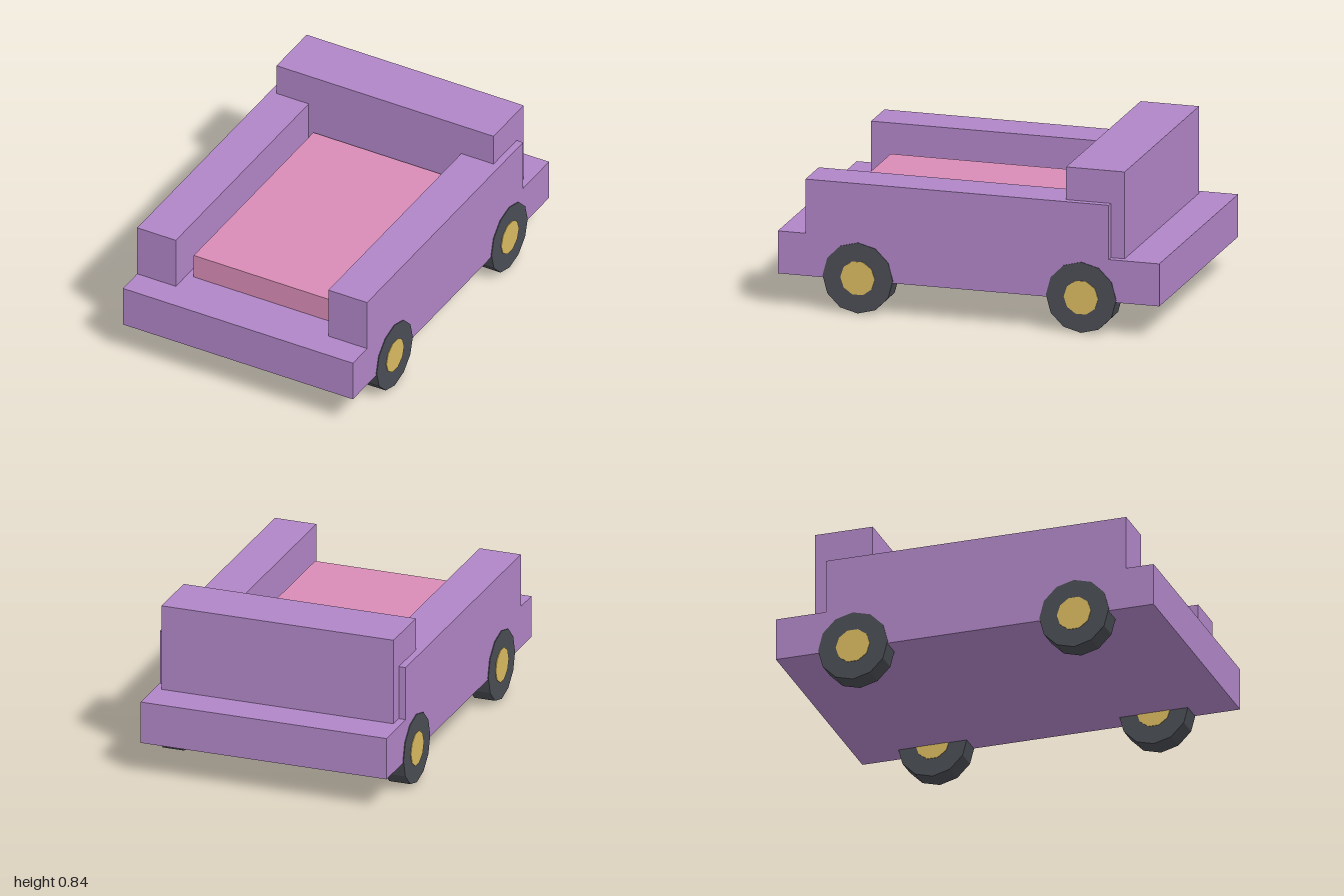
import * as THREE from 'three';

const mat = (color) => new THREE.MeshStandardMaterial({ color, flatShading: true });

export function createModel() {
  const model = new THREE.Group();
  model.name = 'wheeledSofa';
  const purple = mat(0xb085c6), pink = mat(0xd98cb6), dark = mat(0x4a4d54), gold = mat(0xd9bb60);

  // Box given by its minimum and maximum on each axis
  function box(name, material, [x0, x1], [y0, y1], [z0, z1]) {
    const mesh = new THREE.Mesh(new THREE.BoxGeometry(x1 - x0, y1 - y0, z1 - z0), material);
    mesh.position.set((x0 + x1) / 2, (y0 + y1) / 2, (z0 + z1) / 2);
    mesh.name = name;
    model.add(mesh);
  }

  // Body
  box('base', purple, [-0.66, 0.66], [0.172, 0.393], [-1, 1]);
  box('seatCushion', pink, [-0.4, 0.4], [0.393, 0.525], [-0.48, 0.74]);
  box('backrest', purple, [-0.623, 0.623], [0.393, 0.845], [-0.807, -0.5]);
  box('leftArmrest', purple, [0.438, 0.66], [0.393, 0.675], [-0.735, 0.855]);
  box('rightArmrest', purple, [-0.66, -0.438], [0.393, 0.675], [-0.735, 0.855]);

  // Wheels: a tyre with a hub showing on both faces
  const tyreGeo = new THREE.CylinderGeometry(0.184, 0.184, 0.112, 12).rotateZ(Math.PI / 2);
  const hubGeo = new THREE.CylinderGeometry(0.09, 0.09, 0.119, 10).rotateZ(Math.PI / 2);
  for (const [side, x] of [['left', 0.608], ['right', -0.608]]) {
    for (const [end, z] of [['Front', 0.58], ['Rear', -0.591]]) {
      const wheel = new THREE.Group();
      wheel.name = `${side}${end}Wheel`;
      const tyre = new THREE.Mesh(tyreGeo, dark);
      tyre.name = 'tyre';
      const hub = new THREE.Mesh(hubGeo, gold);
      hub.name = 'hub';
      wheel.add(tyre, hub);
      wheel.position.set(x, 0.184, z);
      model.add(wheel);
    }
  }
  return model;
}
